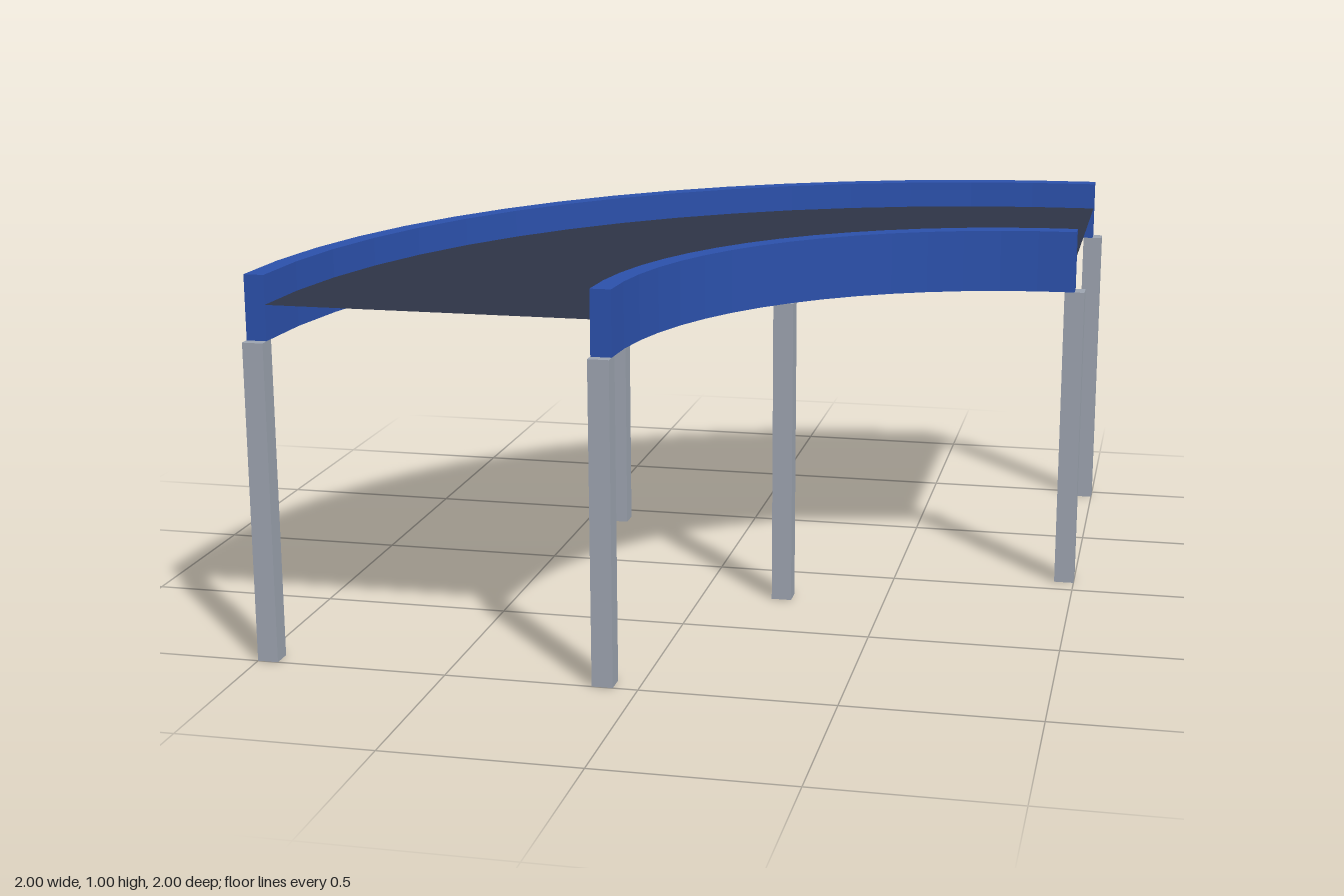
import * as THREE from 'three';

const C = 0.973;          // centre of the curve in x and z
const SEGMENTS = 16;
const LEG_TOP = 0.833;
const LEG = 0.054;

// Quarter ring between two radii; shape y becomes -z once laid flat
function quarterRing(inner, outer) {
  const points = [];
  const add = (r, i) => {
    const a = Math.PI / 2 * (1 + i / SEGMENTS);
    points.push(new THREE.Vector2(C + r * Math.cos(a), -C + r * Math.sin(a)));
  };
  for (let i = 0; i <= SEGMENTS; i++) add(outer, i);
  for (let i = SEGMENTS; i >= 0; i--) add(inner, i);
  return new THREE.Shape(points);
}

export function createModel() {
  const model = new THREE.Group();
  model.name = 'curvedConveyor';

  const railBlue = new THREE.MeshStandardMaterial({ color: 0x2b50aa });
  railBlue.name = 'railBlue';
  const beltDark = new THREE.MeshStandardMaterial({ color: 0x2d3446, side: THREE.DoubleSide });
  beltDark.name = 'beltDark';
  const legGrey = new THREE.MeshStandardMaterial({ color: 0x9ca3af });
  legGrey.name = 'legGrey';

  const addPart = (name, geometry, material) => {
    const mesh = new THREE.Mesh(geometry, material);
    mesh.name = name;
    model.add(mesh);
    return mesh;
  };

  // Side rails
  const rails = [['outerRail', 1.92, 1.972], ['innerRail', 1.037, 1.09]];
  for (const [name, inner, outer] of rails) {
    const geometry = new THREE.ExtrudeGeometry(quarterRing(inner, outer), {
      depth: 1 - LEG_TOP, bevelEnabled: false,
    });
    geometry.rotateX(-Math.PI / 2).translate(0, LEG_TOP, 0);
    addPart(name, geometry, railBlue);
  }

  // Belt surface between the rails
  const belt = new THREE.ShapeGeometry(quarterRing(1.085, 1.925));
  belt.rotateX(-Math.PI / 2).translate(0, 0.925, 0);
  addPart('belt', belt, beltDark);

  // Square legs at both ends and the middle of each rail
  const legGeometry = new THREE.BoxGeometry(LEG, LEG_TOP, LEG);
  for (const [name, radius] of [['outerLeg', 1.946], ['innerLeg', 1.064]]) {
    for (let i = 0; i < 3; i++) {
      const a = i * Math.PI / 4;
      addPart(name + (i + 1), legGeometry, legGrey)
        .position.set(C - radius * Math.cos(a), LEG_TOP / 2, C - radius * Math.sin(a));
    }
  }

  return model;
}
